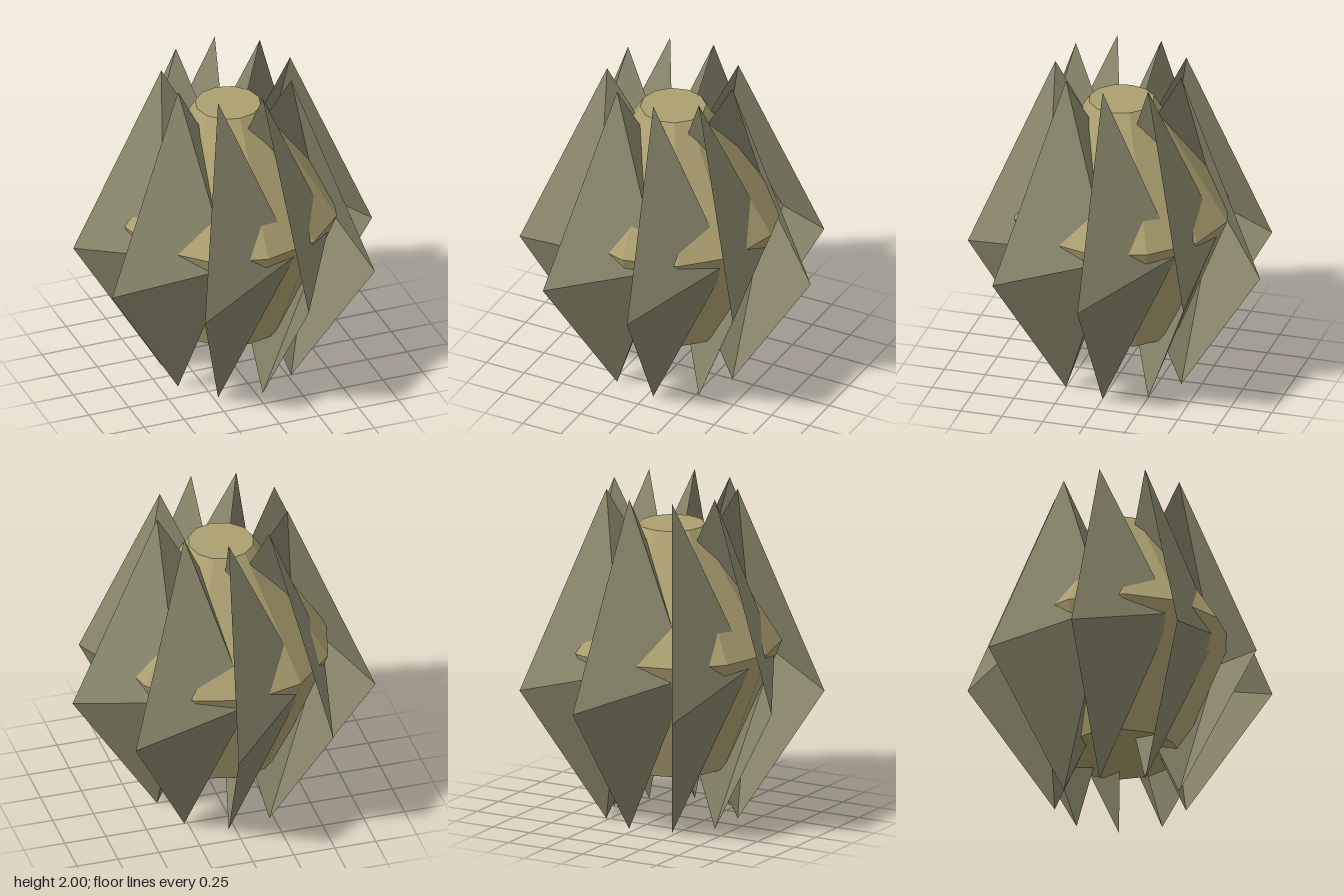
import * as THREE from 'three';

const BLADES = 9;

// thin folded shell: outer, side and inner corners joined to a top and a bottom point;
// the flat side between the outer and inner corners is left open
function createBladeGeometry() {
  const top = [0.39, 2, 0];
  const bottom = [0.39, 0, 0];
  const outer = [0.906, 0.8, 0];
  const side = [0.39, 1, -0.455];
  const inner = [-0.12, 1.1, 0];

  const triangles = [
    top, outer, side,
    top, side, inner,
    bottom, side, outer,
    bottom, inner, side,
  ];
  const geometry = new THREE.BufferGeometry();
  geometry.setAttribute('position', new THREE.Float32BufferAttribute(triangles.flat(), 3));
  geometry.computeVertexNormals();
  return geometry;
}

export function createModel() {
  const model = new THREE.Group();
  model.name = 'bladedSpindle';

  const coreMaterial = new THREE.MeshStandardMaterial({ color: 0xaca070, flatShading: true });
  const bladeMaterial = new THREE.MeshStandardMaterial({
    color: 0x8a876c, flatShading: true, side: THREE.DoubleSide,
  });

  // everything turns around one vertical axis, set so the model is centred
  const spindle = new THREE.Group();
  spindle.name = 'spindle';
  spindle.position.x = -0.0275;
  model.add(spindle);

  // twelve-sided double-cone core, closed at both ends
  const profile = [[0, 0.328], [0.35, 0.328], [0.645, 1.065], [0.194, 1.775], [0, 1.775]]
    .map(([r, y]) => new THREE.Vector2(r, y));
  const core = new THREE.Mesh(new THREE.LatheGeometry(profile, 12), coreMaterial);
  core.name = 'core';
  spindle.add(core);

  // ring of blades
  const bladeGeometry = createBladeGeometry();
  for (let i = 0; i < BLADES; i++) {
    const blade = new THREE.Mesh(bladeGeometry, bladeMaterial);
    blade.name = `blade${i + 1}`;
    blade.rotation.y = -(i / BLADES) * Math.PI * 2;
    spindle.add(blade);
  }

  return model;
}
